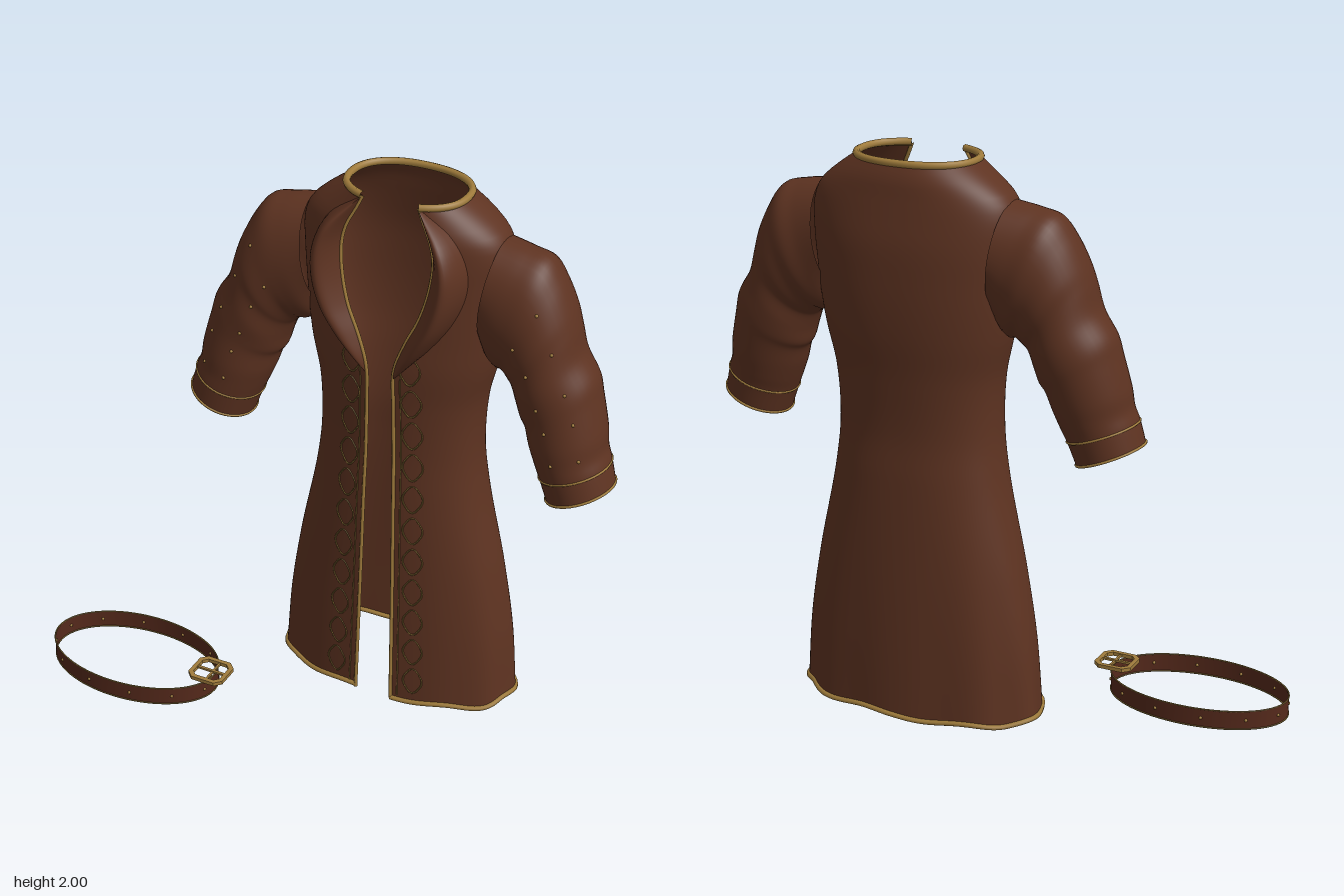
import * as THREE from 'three';

const mat = (name, color, side = THREE.FrontSide) =>
  Object.assign(new THREE.MeshStandardMaterial({ color, side }), { name });

// Smooth surface from a rule f(u, v) with u and v in 0..1
function loft(nu, nv, f, wrap = false) {
  const pos = [], idx = [], cols = wrap ? nu : nu + 1;
  for (let j = 0; j <= nv; j++)
    for (let i = 0; i < cols; i++) pos.push(...f(i / nu, j / nv).toArray());
  for (let j = 0; j < nv; j++)
    for (let i = 0; i < nu; i++) {
      const k = (i + 1) % cols, a = j * cols + i, b = j * cols + k;
      idx.push(a, b, b + cols, a, b + cols, a + cols);
    }
  const g = new THREE.BufferGeometry();
  g.setAttribute('position', new THREE.Float32BufferAttribute(pos, 3));
  g.setIndex(idx);
  g.computeVertexNormals();
  return g;
}

// Smooth lookup in a table whose first column is the key
function table(rows) {
  const n = rows[0].length - 1;
  const it = new THREE.CubicInterpolant(rows.map(r => r[0]), rows.flatMap(r => r.slice(1)), n, new Float32Array(n));
  return t => Array.from(it.evaluate(t));
}

const V = (x, y, z) => new THREE.Vector3(x, y, z);

// Tube along a rule f(t)
function cord(f, n, radius, closed = false, sides = 6) {
  const pts = [];
  for (let i = 0; i < (closed ? n : n + 1); i++) pts.push(f(i / n));
  return new THREE.TubeGeometry(new THREE.CatmullRomCurve3(pts, closed), n, radius, sides, closed);
}

// Coat: height, half width, front z, back z, half opening
const body = table([
  [0.045, 0.445, 0.02, -0.425, 0.07],
  [0.3, 0.425, 0.012, -0.42, 0.066],
  [0.55, 0.385, 0.005, -0.412, 0.062],
  [0.9, 0.312, -0.003, -0.395, 0.056],
  [1.05, 0.295, -0.008, -0.385, 0.053],
  [1.25, 0.302, -0.005, -0.395, 0.05],
  [1.4, 0.335, 0, -0.41, 0.052],
  [1.5, 0.35, -0.005, -0.415, 0.085],
  [1.6, 0.36, -0.01, -0.415, 0.13],
  [1.72, 0.37, -0.02, -0.41, 0.16],
  [1.82, 0.37, -0.03, -0.395, 0.165],
  [1.88, 0.345, -0.035, -0.385, 0.15],
  [1.94, 0.275, -0.045, -0.375, 0.12],
  [1.985, 0.21, -0.05, -0.355, 0.1],
]);
const BOTTOM = 0.045, TOP = 1.985, E = 0.88;
const spow = v => Math.sign(v) * Math.abs(v) ** E;

// Point on the coat; u runs round the back from one front edge to the other
function coatPoint(u, y) {
  const [w, zf, zb, g] = body(y);
  const a = (u * 2 - 1) * (Math.PI - Math.asin((g / w) ** (1 / E)));
  const skirt = Math.max(0, 1 - y / 0.9) ** 1.3;
  const fold = 1 + 0.022 * skirt * Math.cos(a * 9) * Math.sin(u * Math.PI);
  const hem = 0.006 * Math.max(0, 1 - (y - BOTTOM) / 0.1) * Math.sin(a * 8);
  return V(w * spow(Math.sin(a)) * fold, y + hem,
    (zf + zb) / 2 - (zf - zb) / 2 * spow(Math.cos(a)) * fold);
}

// Depth of the coat's front at a given x
function frontZ(x, y) {
  const [w, zf, zb] = body(y);
  const s = Math.min(1, (Math.abs(x) / w) ** (1 / E));
  return (zf + zb) / 2 + (zf - zb) / 2 * Math.sqrt(1 - s * s) ** E;
}

// Lapel: height, outer edge, bulge
const lapel = table([
  [1.37, 0.055, 0.004], [1.43, 0.108, 0.03], [1.5, 0.17, 0.055], [1.6, 0.238, 0.08],
  [1.72, 0.276, 0.092], [1.82, 0.264, 0.085], [1.9, 0.215, 0.06], [1.975, 0.112, 0.012],
]);

// Sleeve: step, outer x y, inner x y, centre z, half depth
const sleeve = table([
  [0, 0.35, 1.87, 0.3, 1.5, -0.205, 0.15],
  [1, 0.44, 1.855, 0.32, 1.44, -0.2, 0.155],
  [2, 0.51, 1.835, 0.35, 1.41, -0.2, 0.16],
  [3, 0.56, 1.77, 0.375, 1.41, -0.195, 0.158],
  [4, 0.6, 1.69, 0.4, 1.39, -0.19, 0.158],
  [5, 0.625, 1.62, 0.415, 1.37, -0.185, 0.15],
  [6, 0.65, 1.53, 0.435, 1.32, -0.182, 0.153],
  [7, 0.7, 1.45, 0.45, 1.27, -0.18, 0.15],
  [8, 0.72, 1.38, 0.47, 1.24, -0.175, 0.146],
  [9, 0.748, 1.27, 0.49, 1.18, -0.165, 0.142],
  [10, 0.757, 1.205, 0.515, 1.12, -0.158, 0.135],
  [11, 0.775, 1.155, 0.537, 1.07, -0.152, 0.13],
  [12, 0.795, 1.08, 0.568, 0.99, -0.147, 0.124],
]);
function sleevePoint(u, t, grow = 1) {
  const [ox, oy, ix, iy, z, d] = sleeve(t), a = u * Math.PI * 2;
  const c = Math.cos(a) * grow / 2;
  return V((ox + ix) / 2 + (ox - ix) * c, (oy + iy) / 2 + (oy - iy) * c, z + d * grow * Math.sin(a));
}

export function createModel() {
  const cloth = mat('brown leather', 0x5e3321, THREE.DoubleSide);
  const strap = mat('dark belt leather', 0x55291b, THREE.DoubleSide);
  const gold = mat('old gold trim', 0xa07c3c);
  const thread = mat('dull gold thread', 0x7a6230);
  const model = new THREE.Group();
  const add = (parent, name, geo, material) => {
    const m = new THREE.Mesh(geo, material);
    m.name = name;
    parent.add(m);
    return m;
  };
  const mix = THREE.MathUtils.lerp;

  const coat = new THREE.Group();
  coat.name = 'coat';
  coat.position.x = 0.2;
  model.add(coat);
  add(coat, 'coatBody', loft(96, 80, (u, v) => coatPoint(u, mix(BOTTOM, TOP, v))), cloth);
  add(coat, 'hemTrim', cord(t => coatPoint(t, BOTTOM), 120, 0.01), gold);
  add(coat, 'collarTrim', cord(t => coatPoint(t, TOP), 64, 0.013, false, 8), gold);

  // Everything that exists once on each side
  for (const side of [1, -1]) {
    const half = new THREE.Group();
    half.name = side > 0 ? 'leftHalf' : 'rightHalf';
    half.scale.x = side;
    coat.add(half);

    add(half, 'frontEdgeTrim', cord(t => coatPoint(1, mix(BOTTOM, TOP, t)), 80, 0.007), gold);
    add(half, 'frontStitching', cord(t => {
      const y = mix(0.06, 1.38, t), x = body(y)[3] + 0.026;
      return V(x, y, frontZ(x, y) + 0.001);
    }, 50, 0.0025, false, 4), thread);

    // Rolled lapel, raised between its outer edge and the opening
    add(half, 'lapel', loft(16, 36, (u, v) => {
      const y = mix(1.37, 1.975, v), [out, bulge] = lapel(y), g = body(y)[3];
      const x = mix(Math.max(out, g + 0.004), g, u);
      return V(x, y, frontZ(x, y) + 0.002 + bulge * Math.sin(Math.PI * u ** 0.75));
    }), cloth);

    // Embroidered loops down the front
    for (let i = 0; i < 11; i++) {
      const cy = 0.135 + i * 0.127, cx = mix(0.152, 0.108, i / 10);
      add(half, 'embroideredLoop', cord(t => {
        const a = t * Math.PI * 2, r = 1 + 0.06 * Math.cos(4 * a);
        const x = cx + 0.033 * r * Math.cos(a), y = cy + 0.05 * r * Math.sin(a);
        return V(x, y, frontZ(x, y) + 0.002);
      }, 28, 0.003, true, 4), thread);
    }

    add(half, 'sleeve', loft(40, 72, (u, v) => sleevePoint(u, v * 12), true), cloth);
    add(half, 'cuffStitching', cord(t => sleevePoint(t, 11), 48, 0.004, true), gold);
    add(half, 'cuffTrim', cord(t => sleevePoint(t, 12), 48, 0.005, true), gold);

    // Two rows of small studs on the front of the sleeve
    for (const u of [0.15, 0.27])
      for (const t of [3, 5, 6.7, 8.2, 9.7])
        add(half, 'sleeveStud', new THREE.SphereGeometry(0.006, 8, 6), gold)
          .position.copy(sleevePoint(u, t));
  }

  // Belt lying on the ground
  const belt = new THREE.Group();
  belt.name = 'belt';
  belt.position.set(-0.668, 0, 0.235);
  model.add(belt);
  const RX = 0.33, RZ = 0.2;
  const loop = (t, y) => V(RX * Math.cos(t * Math.PI * 2), y, RZ * Math.sin(t * Math.PI * 2));
  add(belt, 'beltStrap', loft(80, 1, (u, v) => loop(u, mix(0.073, 0.003, v)), true), strap);
  for (const y of [0.004, 0.072])
    add(belt, 'beltEdge', cord(t => loop(t, y), 80, 0.003, true), thread);
  for (let i = 0; i < 12; i++)
    add(belt, 'beltStud', new THREE.SphereGeometry(0.006, 8, 6), gold)
      .position.copy(loop((i + 0.5) / 12, 0.038));

  // Flat buckle with cut corners, a bar and a prong
  const plate = (P, hx, hy, c) => {
    [[-hx + c, -hy], [hx - c, -hy], [hx, -hy + c], [hx, hy - c], [hx - c, hy], [-hx + c, hy], [-hx, hy - c], [-hx, -hy + c]]
      .forEach(([x, y], i) => (i ? P.lineTo(x, y) : P.moveTo(x, y)));
    P.closePath();
    return P;
  };
  const frame = plate(new THREE.Shape(), 0.07, 0.066, 0.024);
  frame.holes.push(plate(new THREE.Path(), 0.054, 0.05, 0.017));
  const buckle = new THREE.Group();
  buckle.name = 'buckle';
  buckle.position.set(0.318, 0.078, 0);
  belt.add(buckle);
  add(buckle, 'buckleFrame',
    new THREE.ExtrudeGeometry(frame, { depth: 0.014, bevelEnabled: false }).rotateX(-Math.PI / 2), gold);
  add(buckle, 'buckleBar', new THREE.BoxGeometry(0.008, 0.008, 0.11), gold).position.set(0.008, 0.007, 0);
  add(buckle, 'buckleProng', new THREE.BoxGeometry(0.12, 0.008, 0.01), gold).position.y = 0.009;
  return model;
}
